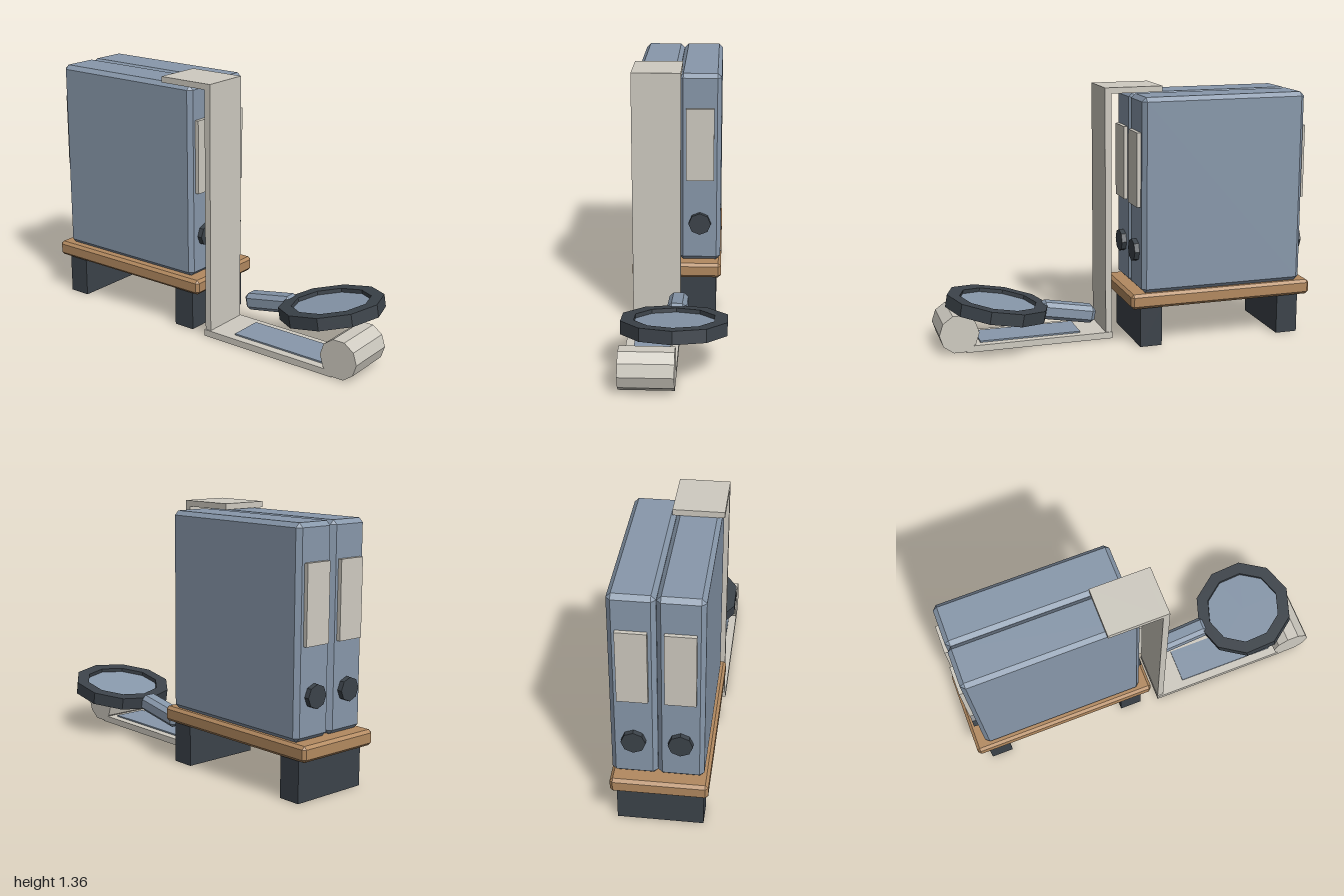
import * as THREE from 'three';
import { ConvexGeometry } from 'three/addons/geometries/ConvexGeometry.js';

const material = (name, color) => {
  const m = new THREE.MeshStandardMaterial({ color });
  m.name = name;
  return m;
};

// Box with every edge chamfered by b
function chamferBox(w, h, d, b) {
  const points = [];
  for (const x of [-1, 1]) for (const y of [-1, 1]) for (const z of [-1, 1]) {
    for (let axis = 0; axis < 3; axis++) {
      const inset = [b, b, b];
      inset[axis] = 0;
      points.push(new THREE.Vector3(
        x * (w / 2 - inset[0]), y * (h / 2 - inset[1]), z * (d / 2 - inset[2])));
    }
  }
  return new ConvexGeometry(points);
}

function faceted(geometry) {
  const g = geometry.toNonIndexed();
  g.computeVertexNormals();
  return g;
}

export function createModel() {
  const blue = material('slate blue', 0x8898ab);
  const cream = material('parchment', 0xcfcbc1);
  const wood = material('wood', 0xb38a60);
  const dark = material('charcoal', 0x3c434a);

  const model = new THREE.Group();
  model.name = 'archiveDisplay';

  const add = (parent, name, geometry, mat, x, y, z) => {
    const mesh = new THREE.Mesh(geometry, mat);
    mesh.name = name;
    mesh.position.set(x, y, z);
    parent.add(mesh);
    return mesh;
  };
  // Plain box from its limits on each axis
  const block = (name, mat, [x0, x1], [y0, y1], [z0, z1]) => add(model, name,
    new THREE.BoxGeometry(x1 - x0, y1 - y0, z1 - z0), mat,
    (x0 + x1) / 2, (y0 + y1) / 2, (z0 + z1) / 2);

  // Low shelf on two feet
  add(model, 'shelf', chamferBox(0.48, 0.08, 1.02, 0.015), wood, -0.02, 0.255, -0.49);
  block('frontFoot', dark, [-0.235, 0.195], [0, 0.216], [-0.155, -0.035]);
  block('backFoot', dark, [-0.235, 0.195], [0, 0.216], [-0.94, -0.82]);

  // Two binders, with a label and a finger ring at each end
  const binderShape = chamferBox(0.224, 1.03, 0.9, 0.022);
  const labelShape = new THREE.BoxGeometry(0.148, 0.39, 0.03);
  const ringShape = faceted(new THREE.CylinderGeometry(0.06, 0.06, 0.04, 8).rotateX(Math.PI / 2));
  for (const [side, x] of [['left', 0.103], ['right', -0.122]]) {
    const binder = new THREE.Group();
    binder.name = side + 'Binder';
    binder.position.set(x, 0, -0.49);
    model.add(binder);
    add(binder, 'cover', binderShape, blue, 0, 0.812, 0);
    for (const end of [1, -1]) {
      add(binder, 'label', labelShape, cream, 0, 0.95, end * 0.456);
      add(binder, 'fingerRing', ringShape, dark, 0, 0.512, end * 0.456);
    }
  }

  // Long paper strip hanging over the binder and running along the ground to a roll
  block('paperTop', cream, [-0.25, 0.006], [1.329, 1.36], [-0.215, 0.066]);
  block('paperDrop', cream, [-0.25, 0.006], [0.02, 1.36], [0.066, 0.1]);
  block('paperFloor', cream, [-0.258, 0.012], [0, 0.035], [0.064, 0.86]);
  block('inkPanel', blue, [-0.215, -0.03], [0.034, 0.043], [0.235, 0.78]);
  add(model, 'paperRoll',
    faceted(new THREE.CylinderGeometry(0.105, 0.105, 0.27, 10).rotateZ(Math.PI / 2)
      .rotateX(Math.PI / 2).rotateX(-Math.PI / 2)),
    cream, -0.123, 0.105, 0.895);

  // Magnifying glass, tilted up towards the front
  const magnifier = new THREE.Group();
  magnifier.name = 'magnifier';
  magnifier.position.set(0, 0.242, 0.69);
  magnifier.rotation.x = -0.18;
  model.add(magnifier);
  const rimProfile = [[0.272, -0.033], [0.272, 0.033], [0.205, 0.033], [0.205, -0.033], [0.272, -0.033]]
    .map(([r, y]) => new THREE.Vector2(r, y));
  add(magnifier, 'rim', faceted(new THREE.LatheGeometry(rimProfile, 10)), dark, 0, 0, 0);
  add(magnifier, 'lens', faceted(new THREE.CylinderGeometry(0.215, 0.215, 0.024, 10)), blue, 0, 0, 0);
  add(magnifier, 'handle', chamferBox(0.1, 0.092, 0.3, 0.022), blue, 0, 0, -0.382);

  return model;
}
